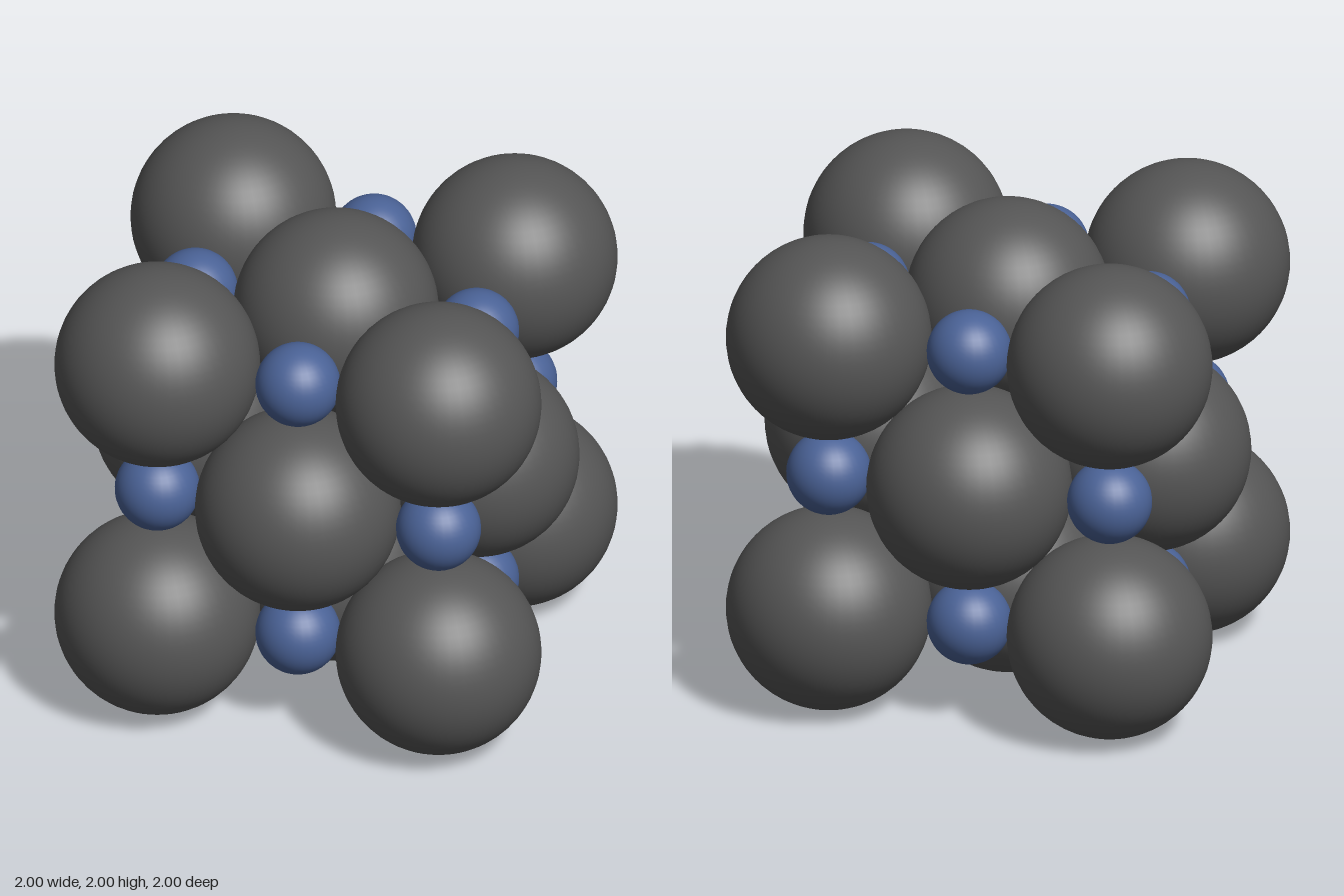
import * as THREE from 'three';

// Face-centred cubic cell of touching large spheres, with small spheres in the gaps
const LARGE_RADIUS = Math.SQRT2 - 1;
const HALF_CELL = 1 - LARGE_RADIUS;
const SMALL_RADIUS = HALF_CELL - LARGE_RADIUS;

export function createModel() {
  const model = new THREE.Group();
  model.name = 'cubicLattice';

  const largeGeometry = new THREE.SphereGeometry(LARGE_RADIUS, 48, 32);
  const smallGeometry = new THREE.SphereGeometry(SMALL_RADIUS, 32, 24);
  const largeMaterial = new THREE.MeshStandardMaterial({ color: 0x555555 });
  const smallMaterial = new THREE.MeshStandardMaterial({ color: 0x4a6296 });

  // Site kind by the number of non-zero coordinates
  const names = ['centreSmallSphere', 'faceLargeSphere', 'edgeSmallSphere', 'cornerLargeSphere'];
  const steps = [-1, 0, 1];

  for (const x of steps) for (const y of steps) for (const z of steps) {
    const kind = Math.abs(x) + Math.abs(y) + Math.abs(z);
    const large = kind % 2 === 1;
    const sphere = new THREE.Mesh(
      large ? largeGeometry : smallGeometry,
      large ? largeMaterial : smallMaterial
    );
    sphere.name = names[kind];
    sphere.position.set(x * HALF_CELL, 1 + y * HALF_CELL, z * HALF_CELL);
    model.add(sphere);
  }
  return model;
}
